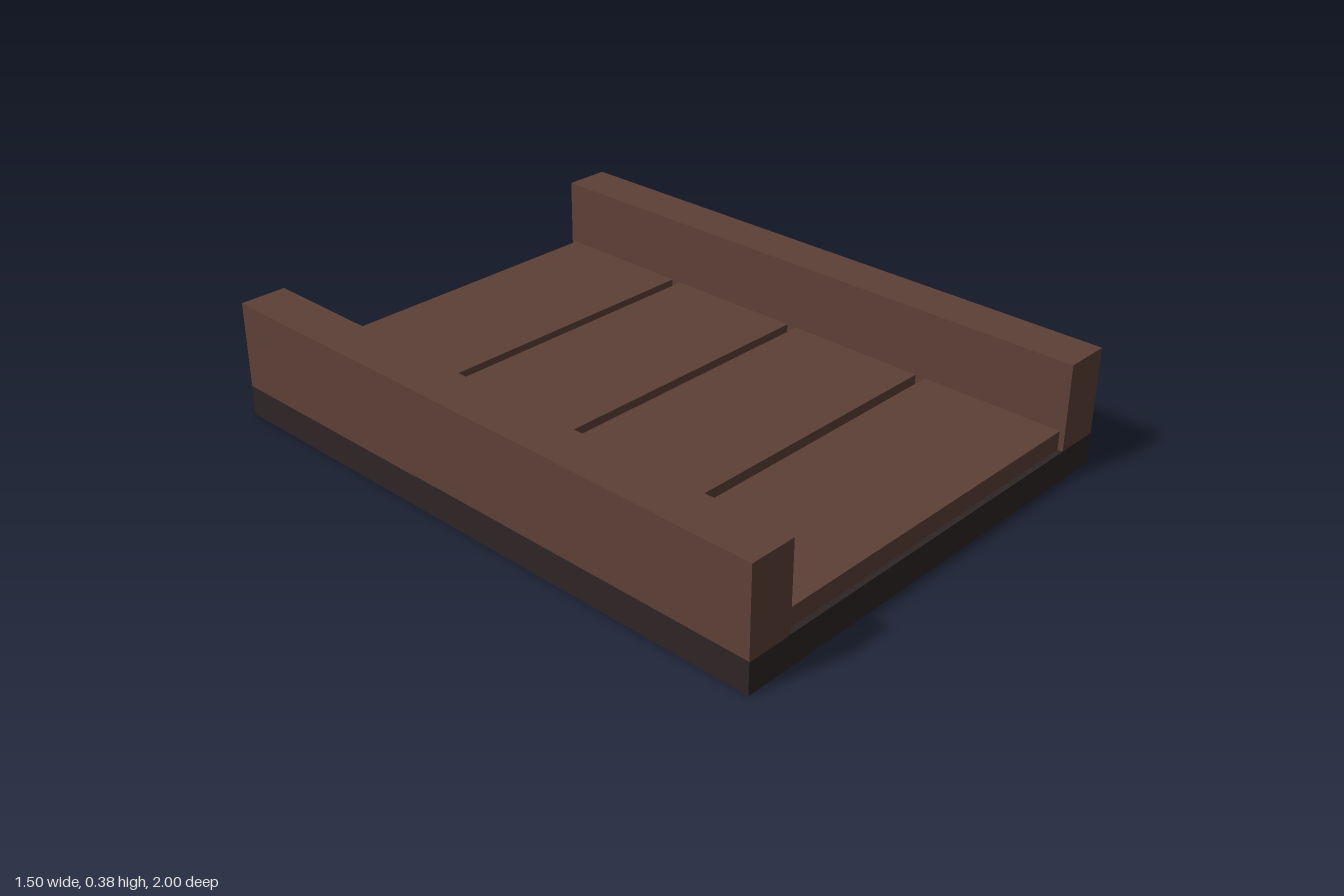
import * as THREE from 'three';

export function createModel() {
  const model = new THREE.Group();
  const wood = new THREE.MeshStandardMaterial({ color: 0x5d4037 });
  wood.name = 'brown wood';
  const dark = new THREE.MeshStandardMaterial({ color: 0x2f2525, side: THREE.DoubleSide });
  dark.name = 'dark base';

  const BASE_H = 0.1, SEAT = 0.098; // wood sits a hair into the base top

  const add = (name, geometry, material, x, y, z) => {
    const mesh = new THREE.Mesh(geometry, material);
    mesh.name = name;
    mesh.position.set(x, y, z);
    model.add(mesh);
  };

  // Base: a shallow shell, open underneath (the -y face is left out)
  const shell = new THREE.BoxGeometry(1.5, BASE_H, 2);
  const faces = Array.from(shell.index.array);
  faces.splice(18, 6);
  shell.setIndex(faces);
  shell.clearGroups();
  add('base', shell, dark, 0, BASE_H / 2, 0);

  // Side beams running the full length
  const beamH = 0.375 - SEAT;
  for (const [name, side] of [['leftBeam', 1], ['rightBeam', -1]]) {
    add(name, new THREE.BoxGeometry(0.15, beamH, 2), wood, side * 0.675, SEAT + beamH / 2, 0);
  }

  // Four deck planks with narrow gaps between them
  const plankH = 0.16 - SEAT;
  for (let i = 0; i < 4; i++) {
    add(`plank${i + 1}`, new THREE.BoxGeometry(1.22, plankH, 0.466), wood,
      0, SEAT + plankH / 2, -0.75 + i * 0.5);
  }

  return model;
}
